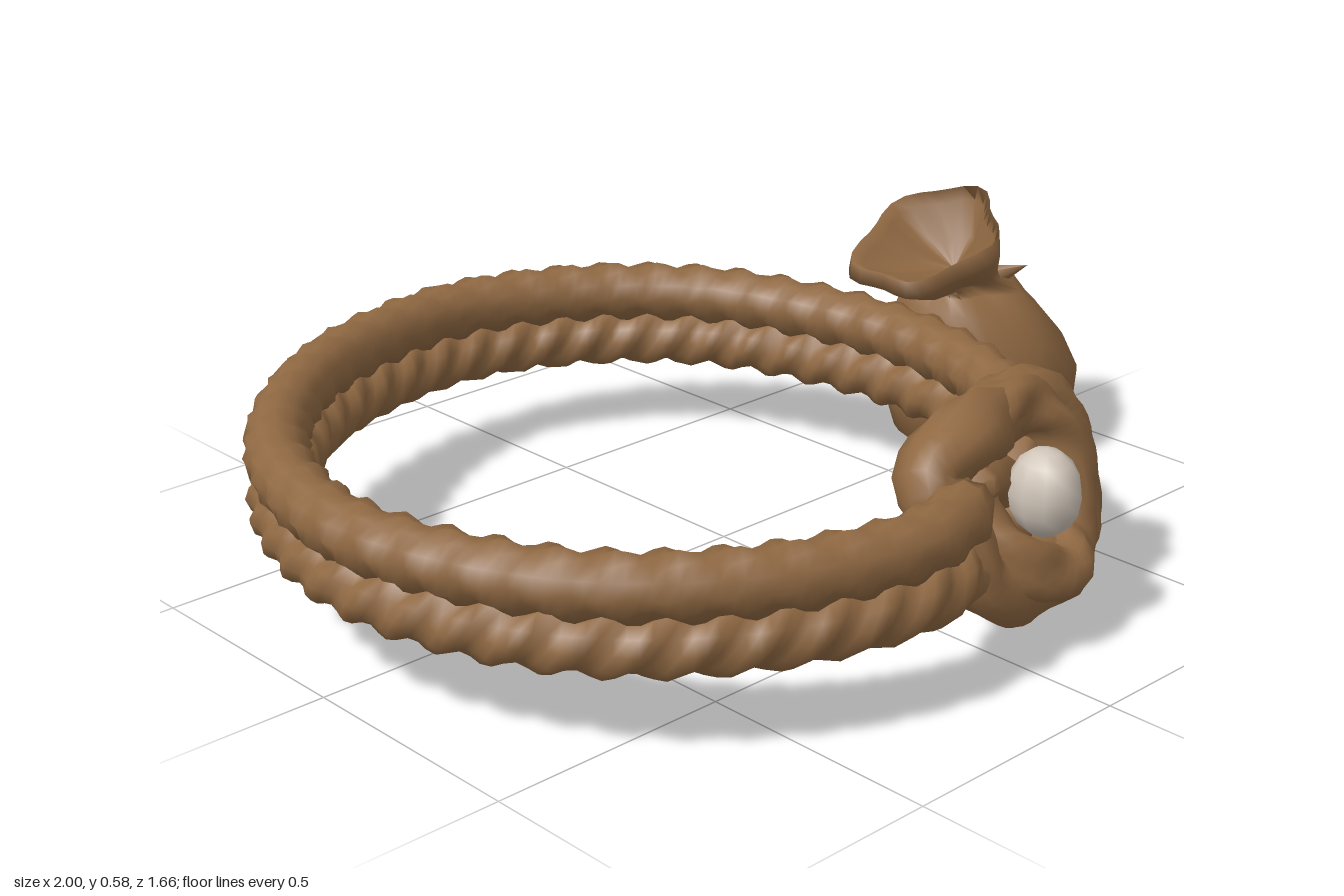
import * as THREE from 'three';

const leather = new THREE.MeshStandardMaterial({ color: 0x8f6842 });
leather.name = 'brown leather';
leather.side = THREE.DoubleSide;
const pearl = new THREE.MeshStandardMaterial({ color: 0xcfc4b8 });
pearl.name = 'pale stone';

// Smooth skin over rows x cols points given by at(row, col); columns wrap around
function skin(rows, cols, closed, at) {
  const pos = [], index = [];
  for (let i = 0; i < rows; i++)
    for (let j = 0; j < cols; j++) pos.push(...at(i, j).toArray());
  const spans = closed ? rows : rows - 1;
  for (let i = 0; i < spans; i++) {
    for (let j = 0; j < cols; j++) {
      const n = (i + 1) % rows, k = (j + 1) % cols;
      const a = i * cols + j, b = i * cols + k, c = n * cols + j, d = n * cols + k;
      index.push(a, b, c, b, d, c);
    }
  }
  const g = new THREE.BufferGeometry();
  g.setAttribute('position', new THREE.Float32BufferAttribute(pos, 3));
  g.setIndex(index);
  g.computeVertexNormals();
  return g;
}

// Three-ply rope: a lobed section that turns along a curve
function rope(points, radius, turns, closed, segments, lobe = 0.13) {
  const curve = new THREE.CatmullRomCurve3(points.map(p => new THREE.Vector3(...p)), closed);
  const frames = curve.computeFrenetFrames(segments, closed);
  const rows = closed ? segments : segments + 1, cols = 12;
  return skin(rows, cols, closed, (i, j) => {
    const t = i / segments, a = j / cols * Math.PI * 2;
    const end = !closed && (i === 0 || i === segments) ? 0 : 1;
    const r = end * radius * (1 + lobe * Math.cos(3 * (a - turns * t * Math.PI * 2)));
    return curve.getPointAt(t)
      .addScaledVector(frames.normals[i], r * Math.cos(a))
      .addScaledVector(frames.binormals[i], r * Math.sin(a));
  });
}

// Pouch sections: centre x, centre y, half width x, half width z, tilt, pleat depth, z shift
const sections = [
  [0.74, 0.003, 0.005, 0.005, 0, 0, 0],
  [0.75, 0.01, 0.09, 0.09, 0, 0, 0],
  [0.782, 0.05, 0.188, 0.178, 0.03, 0, 0],
  [0.79, 0.12, 0.21, 0.217, 0, 0, 0],
  [0.79, 0.19, 0.21, 0.224, -0.05, 0, 0],
  [0.78, 0.27, 0.187, 0.195, -0.1, 0.01, 0],
  [0.76, 0.335, 0.155, 0.155, -0.1, 0.04, 0],
  [0.745, 0.38, 0.115, 0.105, 0, 0.13, 0],
  [0.725, 0.4, 0.078, 0.08, 0.15, 0.2, -0.01],
  [0.68, 0.425, 0.12, 0.11, 0.32, 0.14, -0.02],
  [0.64, 0.465, 0.155, 0.16, 0.4, 0.09, -0.035],
  [0.628, 0.515, 0.163, 0.152, 0.42, 0.08, -0.02],
  [0.64, 0.495, 0.14, 0.132, 0.42, 0.1, -0.02],
  [0.675, 0.448, 0.08, 0.08, 0.35, 0.17, -0.015],
  [0.705, 0.42, 0.003, 0.003, 0.3, 0, -0.01],
];

function pouchGeometry() {
  const cols = 30;
  return skin(sections.length, cols, false, (i, j) => {
    const [cx, cy, rx, rz, tilt, pleat, shift] = sections[i];
    const a = j / cols * Math.PI * 2;
    const k = 1 + pleat * (Math.cos(5 * a + 0.4) + 0.35 * Math.sin(3 * a));
    const x = rx * k * Math.cos(a), z = -rz * k * Math.sin(a);
    return new THREE.Vector3(cx + x * Math.cos(tilt), cy + x * Math.sin(tilt), z + shift);
  });
}

export function createModel() {
  const model = new THREE.Group();
  model.name = 'ropeBelt';
  const add = (name, geometry, material = leather) => {
    const mesh = new THREE.Mesh(geometry, material);
    mesh.name = name;
    model.add(mesh);
    return mesh;
  };

  // Belt: two stacked ropes with opposite twist, pressed together, open at the knot
  const path = [
    [0.33, 0.52], [0.455, 0.29], [0.51, 0.06], [0.495, -0.18], [0.4, -0.46], [0.21, -0.66],
    [-0.08, -0.77], [-0.42, -0.71], [-0.68, -0.54], [-0.86, -0.3], [-0.935, 0.02],
    [-0.87, 0.31], [-0.73, 0.53], [-0.5, 0.69], [-0.24, 0.755], [-0.06, 0.71],
  ];
  add('upperRope', rope(path.map(([x, z]) => [x, 0.32, z]), 0.06, 14, false, 200));
  add('lowerRope', rope(path.map(([x, z]) => [x, 0.216, z]), 0.06, -14, false, 200));

  // Knot: a slanted outer loop and an inner loop woven through it
  add('knotOuterLoop', rope([
    [-0.1, 0.36, 0.64], [0.01, 0.412, 0.635], [0.16, 0.39, 0.57], [0.31, 0.37, 0.55],
    [0.36, 0.25, 0.585], [0.31, 0.13, 0.63], [0.19, 0.105, 0.68], [0.04, 0.13, 0.735],
    [-0.05, 0.18, 0.72], [-0.09, 0.28, 0.69],
  ], 0.068, 2, true, 60));
  add('knotInnerLoop', rope([
    [0.0, 0.28, 0.65], [0.09, 0.41, 0.6], [0.24, 0.395, 0.59], [0.31, 0.27, 0.64],
    [0.27, 0.15, 0.67], [0.16, 0.13, 0.755], [0.03, 0.19, 0.755],
  ], 0.055, -2, true, 50));

  // Rope ends crossing behind the stone
  add('knotFallingStrand', rope([
    [-0.04, 0.33, 0.67], [0.08, 0.31, 0.63], [0.2, 0.22, 0.6], [0.33, 0.2, 0.56],
  ], 0.05, 0.5, false, 16));
  add('knotRisingStrand', rope([
    [-0.02, 0.2, 0.7], [0.1, 0.19, 0.66], [0.22, 0.3, 0.58], [0.34, 0.33, 0.53],
  ], 0.045, -0.5, false, 16));

  // Stone set at the front of the knot
  const stone = add('stone', new THREE.SphereGeometry(1, 10, 8), pearl);
  stone.scale.set(0.066, 0.088, 0.075);
  stone.position.set(0.13, 0.295, 0.725);

  // Pouch: round bag, gathered neck and a flared mouth leaning inward
  add('pouch', pouchGeometry());

  // Small gathered folds fanning out beside the neck
  for (const side of [-1, 1]) {
    const fold = add('neckFold', new THREE.ConeGeometry(0.032, 0.1, 6));
    fold.position.set(0.825, 0.395, side * 0.04);
    fold.rotation.set(side * 1.1, 0, -0.5);
  }
  return model;
}
